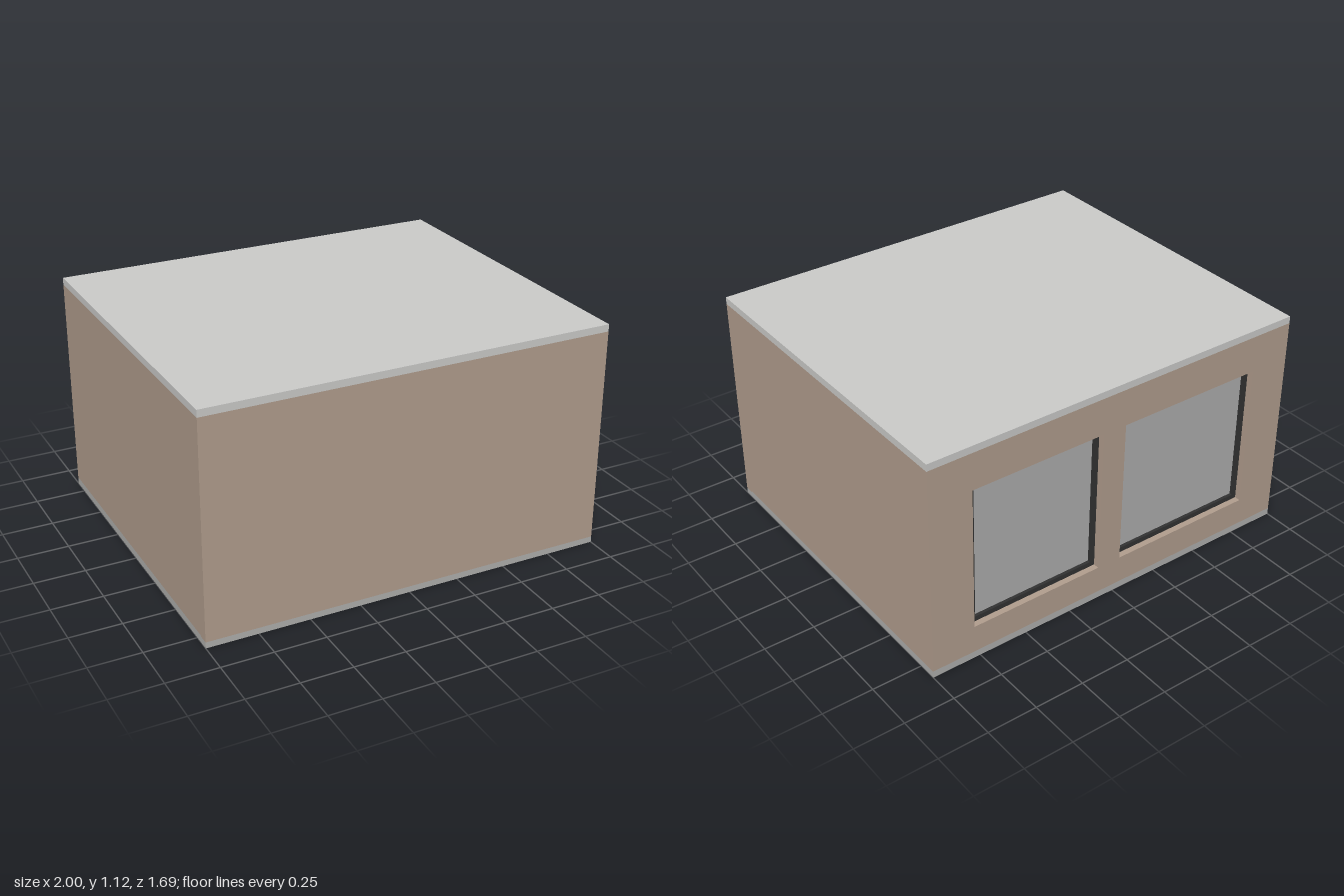
import * as THREE from 'three';

const material = (name, color) => {
  const m = new THREE.MeshStandardMaterial({ color });
  m.name = name;
  return m;
};

// Rectangular outline from corner to corner
function rect(Type, x0, y0, x1, y1) {
  const r = new Type();
  r.moveTo(x0, y0);
  r.lineTo(x1, y0);
  r.lineTo(x1, y1);
  r.lineTo(x0, y1);
  r.closePath();
  return r;
}

export function createModel() {
  const group = new THREE.Group();
  group.name = 'roomModule';
  const plaster = material('brown plaster', 0xb39f8f);
  const roofGrey = material('light roof grey', 0xcdcdcb);
  const baseGrey = material('floor grey', 0xb0b0ae);
  const frameDark = material('dark frame', 0x333333);
  const paneGrey = material('pane grey', 0xaeaeae);

  const W = 1, D = 0.843, H = 1.125; // half width, half depth, height
  const slab = 0.035, wall = 0.05, backWall = 0.08;
  const wallTop = H - slab;

  const add = (name, geometry, mat) => {
    const mesh = new THREE.Mesh(geometry, mat);
    mesh.name = name;
    group.add(mesh);
    return mesh;
  };
  const box = (name, mat, x0, x1, y0, y1, z0, z1) => {
    const mesh = add(name, new THREE.BoxGeometry(x1 - x0, y1 - y0, z1 - z0), mat);
    mesh.position.set((x0 + x1) / 2, (y0 + y1) / 2, (z0 + z1) / 2);
  };
  const plate = (name, mat, shape, z, depth) => {
    const geometry = new THREE.ExtrudeGeometry(shape, { depth, bevelEnabled: false });
    add(name, geometry, mat).position.z = z;
  };

  // Floor slab, a little lower under the front wall, and roof slab
  const frontBase = 0.03;
  box('floorSlab', baseGrey, -W, W, 0, slab, -D, D - wall);
  box('frontFloorEdge', baseGrey, -W, W, 0, frontBase, D - wall, D);
  box('roofSlab', roofGrey, -W, W, wallTop, H, -D, D);

  // Plain front and side walls
  box('frontWall', plaster, -W, W, frontBase, wallTop, D - wall, D);
  box('leftWall', plaster, W - wall, W, slab, wallTop, -D + backWall, D - wall);
  box('rightWall', plaster, -W, -W + wall, slab, wallTop, -D + backWall, D - wall);

  // Back wall with two window openings
  const openings = [
    { name: 'left', x0: 0.09, x1: 0.78 },
    { name: 'right', x0: -0.79, x1: -0.035 },
  ];
  const y0 = 0.175, y1 = 0.905;
  const back = rect(THREE.Shape, -W, slab, W, wallTop);
  for (const o of openings) back.holes.push(rect(THREE.Path, o.x0, y0, o.x1, y1));
  plate('backWall', plaster, back, -D, backWall);

  // Recessed window frames and panes
  const bar = 0.025, setback = 0.03;
  for (const { name, x0, x1 } of openings) {
    const frame = rect(THREE.Shape, x0, y0, x1, y1);
    frame.holes.push(rect(THREE.Path, x0 + bar, y0 + bar, x1 - bar, y1 - bar));
    plate(name + 'WindowFrame', frameDark, frame, -D + setback, 0.04);
    box(name + 'WindowPane', paneGrey, x0 + bar, x1 - bar, y0 + bar, y1 - bar,
      -D + setback + 0.015, -D + setback + 0.023);
  }
  return group;
}
